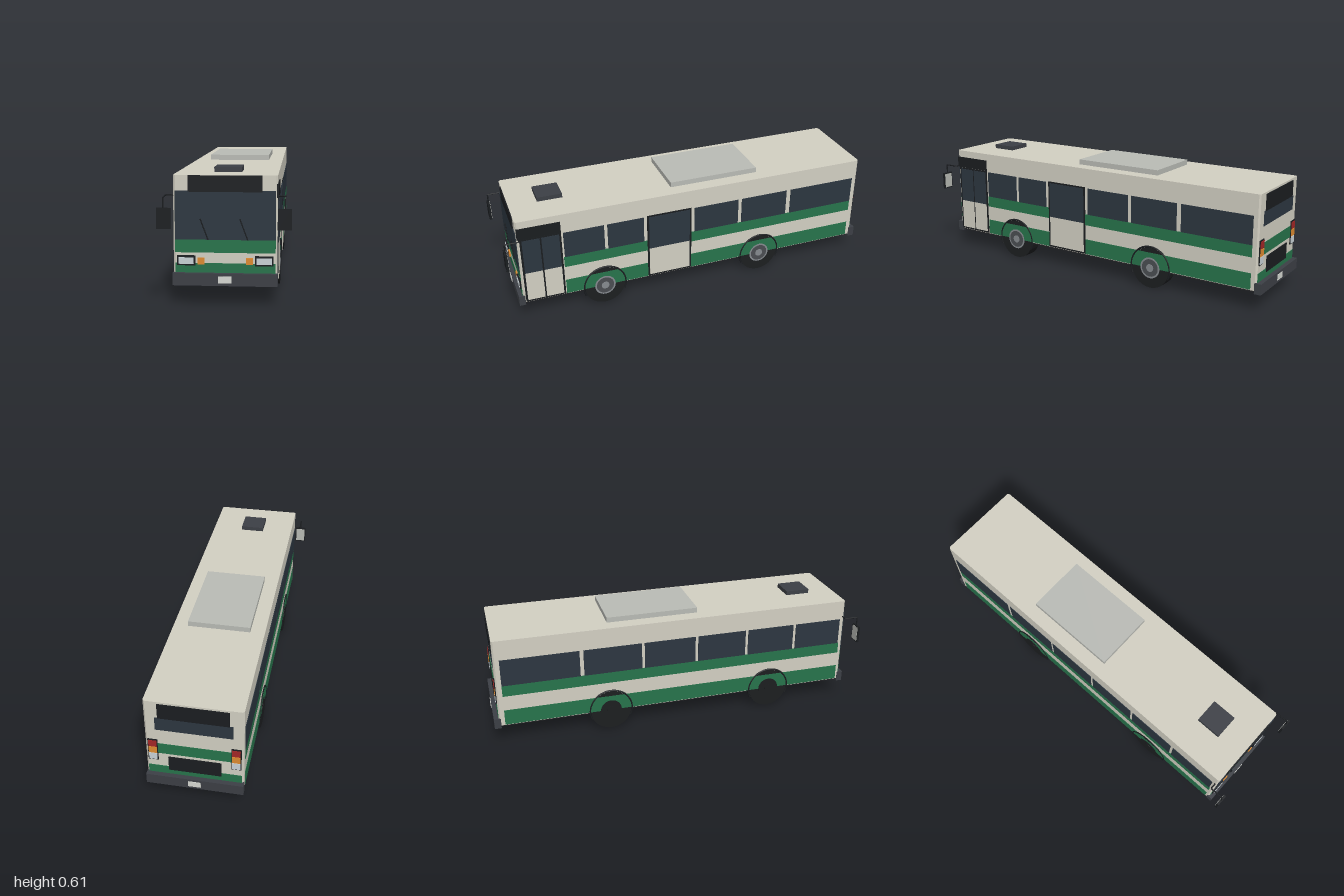
import * as THREE from 'three';

const mat = (color, extra = {}) => new THREE.MeshStandardMaterial({ color, ...extra });
const M = {
  cream: mat(0xd2cfc2), green: mat(0x27734b), glass: mat(0x2c3640), black: mat(0x1a1d20),
  bumper: mat(0x3c3f45), floor: mat(0x262628), unit: mat(0xb9bbb5), lens: mat(0xc9d2d6),
  orange: mat(0xdd8a30), red: mat(0xa32626), plate: mat(0xd6d8d2),
  tyre: mat(0x1c1e20, { flatShading: true }), rim: mat(0x858a8e), rimDark: mat(0x4a4d51),
};

// body limits
const HALF = 0.23, FRONT = 0.93, REAR = -0.97, TOP = 0.578, BASE = 0.105;

export function createModel() {
  const bus = new THREE.Group();
  bus.name = 'bus';

  // box given by its limits on each axis
  function box(name, m, [x0, x1], [y0, y1], [z0, z1], parent = bus) {
    const mesh = new THREE.Mesh(new THREE.BoxGeometry(x1 - x0, y1 - y0, z1 - z0), m);
    mesh.position.set((x0 + x1) / 2, (y0 + y1) / 2, (z0 + z1) / 2);
    mesh.name = name;
    parent.add(mesh);
    return mesh;
  }
  // thin panels on the side, front and rear walls
  const side = (name, m, s, z, y, t = 0.002) =>
    box(name, m, s > 0 ? [HALF - 0.004, HALF + t] : [-HALF - t, -HALF + 0.004], y, z);
  const front = (name, m, x, y, t = 0.002) => box(name, m, x, y, [FRONT - 0.004, FRONT + t]);
  const rear = (name, m, x, y, t = 0.002) => box(name, m, x, y, [REAR - t, REAR + 0.004]);
  // round bar between two points
  function bar(name, a, b, r, parent = bus) {
    const path = new THREE.LineCurve3(new THREE.Vector3(...a), new THREE.Vector3(...b));
    const mesh = new THREE.Mesh(new THREE.TubeGeometry(path, 1, r, 6), M.black);
    mesh.name = name;
    parent.add(mesh);
  }

  // shell with slightly chamfered upright corners
  const c = 0.008, outline = new THREE.Shape();
  [[HALF - c, REAR], [HALF, REAR + c], [HALF, FRONT - c], [HALF - c, FRONT],
    [c - HALF, FRONT], [-HALF, FRONT - c], [-HALF, REAR + c], [c - HALF, REAR]]
    .forEach(([x, z], i) => (i ? outline.lineTo(x, -z) : outline.moveTo(x, -z)));
  const shell = new THREE.Mesh(
    new THREE.ExtrudeGeometry(outline, { depth: TOP - BASE, bevelEnabled: false }), M.cream);
  shell.rotation.x = -Math.PI / 2;
  shell.position.y = BASE;
  shell.name = 'bodyShell';
  bus.add(shell);
  box('underfloor', M.floor, [-0.225, 0.225], [0.098, 0.11], [REAR + 0.01, FRONT - 0.01]);

  // side stripes and windows
  const windows = {
    1: [[0.49, 0.70], [0.28, 0.473], [-0.25, 0], [-0.535, -0.27], [-0.94, -0.56]],
    '-1': [[0.645, 0.905], [0.37, 0.63], [0.09, 0.355], [-0.20, 0.075], [-0.52, -0.215], [-0.94, -0.54]],
  };
  for (const s of [1, -1]) {
    const end = s > 0 ? 0.705 : 0.91;
    side('upperStripe', M.green, s, [-0.94, end], [0.27, 0.33]);
    side('lowerStripe', M.green, s, [-0.94, end], [BASE + 0.003, 0.19]);
    for (const z of windows[s]) side('sideWindow', M.glass, s, z, [0.33, 0.473], 0.003);
  }

  // doors on the left side
  function door(name, z0, z1, leaves) {
    side(name + 'Frame', M.black, 1, [z0, z1], [0.108, 0.478], 0.003);
    const w = (z1 - z0 - 0.012) / leaves;
    for (let i = 0; i < leaves; i++) {
      const z = [z0 + 0.01 + i * w, z0 + 0.002 + (i + 1) * w];
      side(name + 'Panel', M.cream, 1, z, [0.117, 0.28], 0.005);
      side(name + 'Window', M.glass, 1, z, [0.28, 0.47], 0.005);
    }
  }
  door('frontDoor', 0.71, 0.917, 2);
  door('middleDoor', 0.018, 0.262, 1);
  side('sideSign', M.black, 1, [0.71, 0.928], [0.48, 0.54], 0.005);

  // front wall
  front('windscreen', M.glass, [-0.222, 0.222], [0.293, 0.51], 0.004);
  front('frontSign', M.black, [-0.163, 0.163], [0.505, TOP - 0.001], 0.006);
  front('frontUpperStripe', M.green, [-0.222, 0.222], [0.235, 0.293]);
  front('frontLowerStripe', M.green, [-0.222, 0.222], [0.13, 0.188]);
  for (const x of [-0.075, 0.10]) bar('wiper', [x, 0.293, 0.937], [x - 0.035, 0.387, 0.937], 0.003);
  for (const s of [-1, 1]) {
    const span = (a, b) => (s > 0 ? [a, b] : [-b, -a]);
    front('headlightFrame', M.black, span(0.132, 0.213), [0.178, 0.222], 0.008);
    front('headlight', M.lens, span(0.139, 0.206), [0.185, 0.214], 0.011);
    front('indicator', M.orange, span(0.092, 0.123), [0.183, 0.213], 0.008);

    // mirror on a bent arm
    const mirror = new THREE.Group();
    mirror.name = 'mirror';
    bus.add(mirror);
    const pts = [[0.225, 0.488, 0.92], [0.263, 0.488, 0.92], [0.263, 0.488, 0.993], [0.263, 0.435, 0.993]];
    for (let i = 0; i < 3; i++)
      bar('mirrorArm', [s * pts[i][0], ...pts[i].slice(1)], [s * pts[i + 1][0], ...pts[i + 1].slice(1)], 0.0035, mirror);
    box('mirrorCase', M.black, span(0.232, 0.293), [0.35, 0.441], [0.988, 1], mirror);
    box('mirrorGlass', M.unit, span(0.237, 0.288), [0.356, 0.435], [0.986, 0.989], mirror);

    // rear lamp stack
    [M.lens, M.orange, M.red].forEach((m, i) =>
      rear('rearLamp', m, span(0.176, 0.215), [0.234 + i * 0.039, 0.27 + i * 0.039], 0.008));
    rear('rearLampFrame', M.black, span(0.172, 0.219), [0.229, 0.353], 0.005);
  }

  // rear wall
  rear('rearSign', M.black, [-0.165, 0.165], [0.487, 0.568], 0.005);
  rear('rearWindow', M.glass, [-0.18, 0.18], [0.415, 0.487], 0.003);
  rear('rearUpperStripe', M.green, [-0.172, 0.172], [0.27, 0.33]);
  rear('rearLowerStripe', M.green, [-0.222, 0.222], [0.13, 0.19]);
  rear('engineGrille', M.black, [-0.125, 0.125], [0.172, 0.253], 0.005);

  // bumpers and number plates
  box('frontBumper', M.bumper, [-0.232, 0.232], [0.09, 0.145], [FRONT - 0.01, 0.952]);
  box('rearBumper', M.bumper, [-0.232, 0.232], [0.09, 0.145], [-0.995, REAR + 0.01]);
  box('frontPlate', M.plate, [-0.03, 0.03], [0.103, 0.133], [0.95, 0.955]);
  box('rearPlate', M.plate, [-0.03, 0.03], [0.103, 0.133], [-0.998, -0.993]);

  // roof
  box('roofUnit', M.unit, [-0.157, 0.157], [TOP - 0.005, 0.605], [-0.38, 0.105]);
  box('roofHatch', M.bumper, [-0.063, 0.063], [TOP - 0.005, 0.6], [0.655, 0.785]);

  // wheels: outer tyre, rim and hub, inner twin at the rear, arch trim
  function drum(name, m, r, x0, x1, parent) {
    const mesh = new THREE.Mesh(new THREE.CylinderGeometry(r, r, Math.abs(x1 - x0), 28), m);
    mesh.rotation.z = Math.PI / 2;
    mesh.position.x = (x0 + x1) / 2;
    mesh.name = name;
    parent.add(mesh);
  }
  for (const [z, isRear] of [[0.5, false], [-0.387, true]]) {
    for (const s of [-1, 1]) {
      const wheel = new THREE.Group();
      wheel.name = isRear ? 'rearWheel' : 'frontWheel';
      wheel.position.set(0, 0.108, z);
      bus.add(wheel);
      drum('tyre', M.tyre, 0.108, s * 0.163, s * 0.231, wheel);
      drum('rim', s > 0 ? M.rim : M.tyre, 0.056, s * 0.2, s * 0.233, wheel);
      drum('rimDish', s > 0 ? M.rimDark : M.tyre, 0.047, s * 0.2, s * 0.2335, wheel);
      drum('hub', s > 0 ? M.rim : M.tyre, 0.021, s * 0.2, s * 0.235, wheel);
      if (isRear) {
        drum('innerDrum', M.rim, 0.084, s * 0.125, s * 0.165, wheel);
        drum('innerTyreEdge', M.tyre, 0.085, s * 0.121, s * 0.128, wheel);
        drum('innerDisc', M.rim, 0.078, s * 0.12, s * 0.128, wheel);
      }
      const arch = new THREE.Mesh(new THREE.TorusGeometry(0.113, 0.005, 6, 28, Math.PI + 0.8), M.black);
      arch.rotation.set(0, Math.PI / 2, 0);
      arch.rotateZ(-0.4);
      arch.position.x = s * HALF;
      arch.name = 'wheelArch';
      wheel.add(arch);
    }
  }
  return bus;
}
